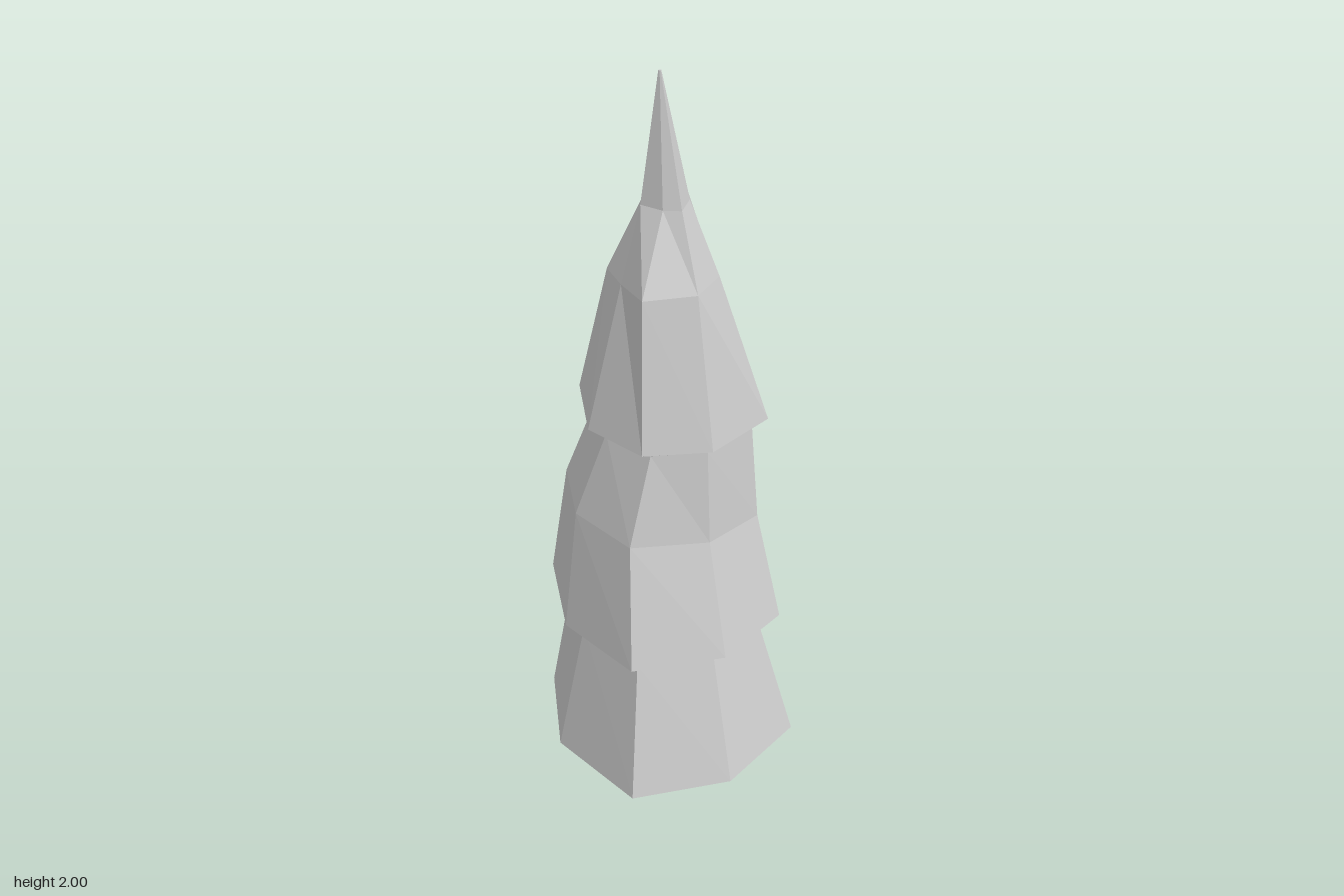
import * as THREE from 'three';

// Eight corners of each ring as x, z pairs, going round from the back towards +x
const lowSkirt = [0, -0.31, 0.22, -0.24, 0.3, -0.035, 0.262, 0.2, 0.03, 0.306, -0.215, 0.256, -0.3, 0, -0.22, -0.236];
const midSkirt = [0, -0.3, 0.19, -0.24, 0.26, -0.03, 0.227, 0.17, 0.03, 0.262, -0.196, 0.22, -0.27, 0, -0.205, -0.24];
const topSkirt = [0, -0.247, 0.175, -0.19, 0.24, -0.03, 0.21, 0.103, 0.025, 0.187, -0.13, 0.147, -0.195, 0, -0.135, -0.19];
const shoulder = [0, -0.115, 0.055, -0.06, 0.12, -0.022, 0.1, 0.058, 0.018, 0.118, -0.1, 0.09, -0.108, 0, -0.104, -0.083];
const neck = [0, -0.065, 0.035, -0.05, 0.062, -0.02, 0.05, 0.01, 0.01, 0.055, -0.025, 0.035, -0.055, -0.012, -0.035, -0.045];

// Ring at height y; tilt lifts its -x side, sx/sz scale it, dx/dz shift it
function ring(flat, y, tilt = 0, sx = 1, sz = sx, dx = 0, dz = 0) {
  const out = [];
  for (let i = 0; i < 16; i += 2) {
    const x = flat[i] * sx + dx;
    out.push(new THREE.Vector3(x, y - tilt * x, flat[i + 1] * sz + dz));
  }
  return out;
}

// Faceted skin through the rings, closed at both ends
function loft(rings) {
  const pos = [];
  const tri = (a, b, c) => pos.push(...a.toArray(), ...b.toArray(), ...c.toArray());
  const n = rings[0].length;
  for (let r = 0; r < rings.length - 1; r++) {
    for (let i = 0; i < n; i++) {
      const j = (i + 1) % n;
      const a = rings[r][i], b = rings[r][j], c = rings[r + 1][j], d = rings[r + 1][i];
      tri(a, d, c);
      tri(a, c, b);
    }
  }
  const cap = (points, up) => {
    const mid = points.reduce((s, p) => s.add(p), new THREE.Vector3()).divideScalar(n);
    points.forEach((p, i) => {
      const q = points[(i + 1) % n];
      if (up) tri(mid, q, p);
      else tri(mid, p, q);
    });
  };
  cap(rings[0], false);
  cap(rings[rings.length - 1], true);
  const geo = new THREE.BufferGeometry();
  geo.setAttribute('position', new THREE.Float32BufferAttribute(pos, 3));
  geo.computeVertexNormals();
  return geo;
}

export function createModel() {
  const material = new THREE.MeshStandardMaterial({ color: 0xcccccc, flatShading: true });
  const tree = new THREE.Group();
  tree.name = 'coniferTree';

  // Three overlapping tiers of branches, tapering to a spike
  const foliage = new THREE.Mesh(loft([
    ring(lowSkirt, 0.232, 0.03, 0.83, 0.8),
    ring(lowSkirt, 0.278, 0.01),
    ring(midSkirt, 0.622, 0.04, 0.82, 0.82, 0, -0.005),
    ring(midSkirt, 0.65, 0.04),
    ring(midSkirt, 0.94, 0.12, 0.83, 0.77, 0, -0.022),
    ring(topSkirt, 1.175, 0.05, 0.81, 0.84, 0.006, 0.002),
    ring(topSkirt, 1.193, 0.06),
    ring(shoulder, 1.55),
    ring(neck, 1.72),
    ring(neck, 2, 0, 0.06, 0.06, -0.004, -0.022),
  ]), material);
  foliage.name = 'foliage';
  tree.add(foliage);

  // Thin trunk flaring at the foot
  const trunk = new THREE.Mesh(new THREE.CylinderGeometry(0.007, 0.03, 0.24, 7), material);
  trunk.position.set(-0.002, 0.12, 0.002);
  trunk.name = 'trunk';
  tree.add(trunk);

  return tree;
}
